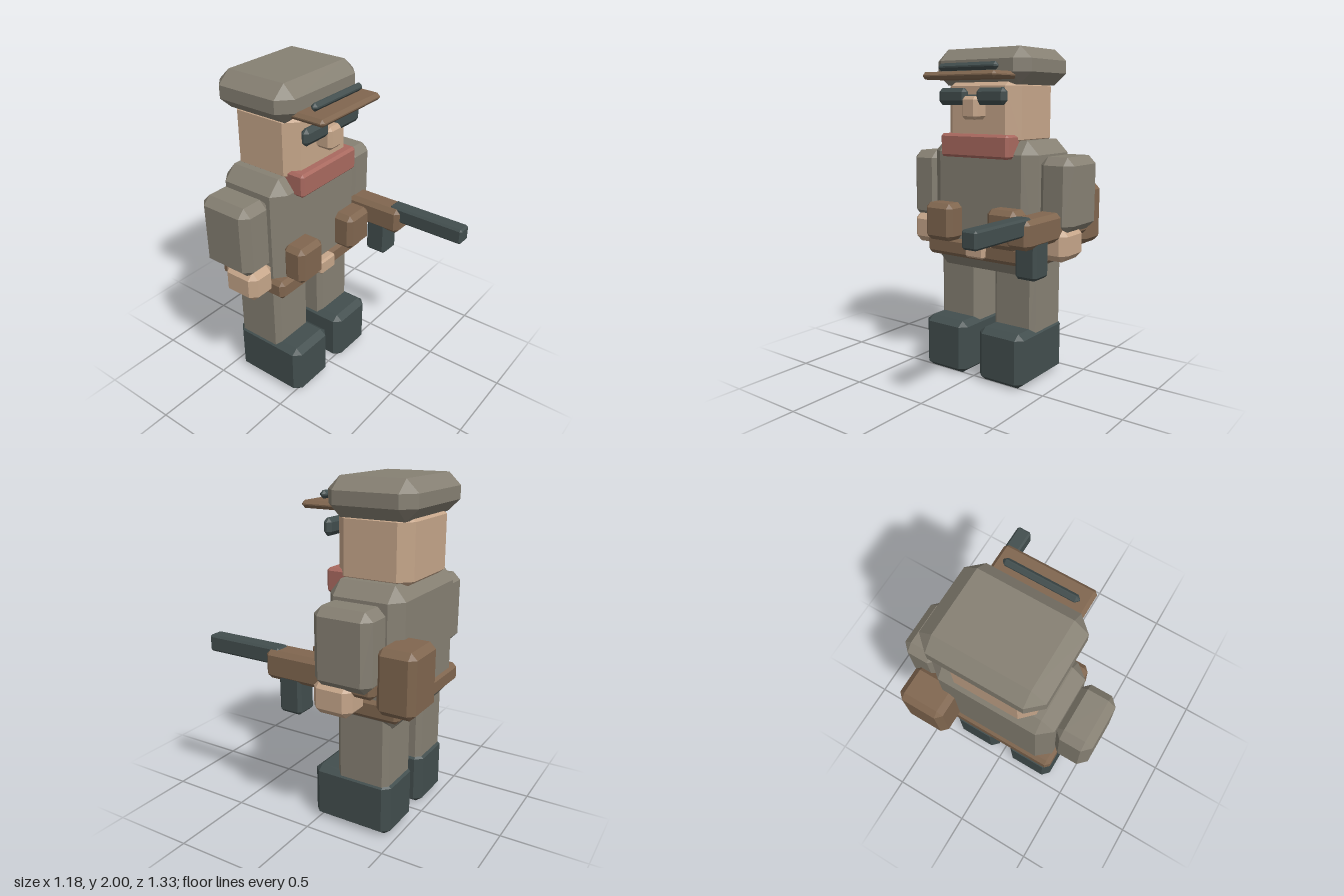
import * as THREE from 'three';
import { ConvexGeometry } from 'three/addons/geometries/ConvexGeometry.js';

const paint = (name, color) => {
  const m = new THREE.MeshStandardMaterial({ color });
  m.name = name;
  return m;
};

// Box between two limits per axis, with every edge and corner cut by [cx, cy, cz]
function chamferBox(x, y, z, cut) {
  const half = [x, y, z].map(([a, b]) => (b - a) / 2);
  const points = [];
  for (const sx of [-1, 1]) for (const sy of [-1, 1]) for (const sz of [-1, 1]) {
    const s = [sx, sy, sz];
    for (let face = 0; face < 3; face++) {
      points.push(new THREE.Vector3(...s.map((v, i) => v * (half[i] - (i === face ? 0 : cut[i])))));
    }
  }
  return new ConvexGeometry(points);
}

export function createModel() {
  const model = new THREE.Group();
  model.name = 'soldier';
  const cloth = paint('drab cloth', 0x868073);
  const leather = paint('brown leather', 0x80664f);
  const skin = paint('skin', 0xc6a68a);
  const dark = paint('dark rubber', 0x424e4e);
  const red = paint('scarf red', 0xa9695f);

  const block = (name, mat, x, y, z, c) => {
    const cut = Array.isArray(c) ? c : [c, c, c];
    const mesh = new THREE.Mesh(chamferBox(x, y, z, cut), mat);
    mesh.position.set((x[0] + x[1]) / 2, (y[0] + y[1]) / 2, (z[0] + z[1]) / 2);
    mesh.name = name;
    model.add(mesh);
  };
  // Same block on both sides; x is given for the left (+x)
  const pair = (name, mat, x, ...rest) => {
    block('left' + name, mat, x, ...rest);
    block('right' + name, mat, [-x[1], -x[0]], ...rest);
  };

  // Legs and boots
  pair('Boot', dark, [0.047, 0.368], [0, 0.337], [-0.46, 0.042], [0.042, 0.033, 0.042]);
  pair('Leg', cloth, [0.06, 0.357], [0.28, 0.76], [-0.445, -0.115], 0.03);

  // Body, belt and pouches
  block('torso', cloth, [-0.38, 0.38], [0.66, 1.465], [-0.51, -0.05], [0.08, 0.08, 0.065]);
  block('belt', leather, [-0.4, 0.4], [0.73, 0.85], [-0.527, -0.03], 0.025);
  block('buckle', skin, [-0.07, 0.067], [0.75, 0.845], [-0.06, 0.003], 0.012);
  pair('Pouch', leather, [0.13, 0.337], [0.843, 1.075], [-0.08, 0.07], 0.03);
  block('backPouch', leather, [0.225, 0.51], [0.82, 1.187], [-0.668, -0.44], 0.035);

  // Arms and hands
  pair('Sleeve', cloth, [0.37, 0.59], [0.94, 1.378], [-0.455, -0.105], 0.047);
  pair('Hand', skin, [0.385, 0.573], [0.777, 0.97], [-0.33, -0.09], 0.04);

  // Head and face
  block('head', skin, [-0.263, 0.263], [1.42, 1.83], [-0.5, -0.04], [0.07, 0.05, 0.07]);
  block('scarf', red, [-0.247, 0.247], [1.36, 1.5], [-0.15, 0.013], [0.015, 0.015, 0.015]);
  block('nose', skin, [-0.057, 0.055], [1.585, 1.72], [-0.06, 0.057], 0.02);
  pair('Lens', dark, [0.035, 0.243], [1.67, 1.768], [-0.01, 0.042], [0.024, 0.024, 0.02]);
  block('glassesBridge', dark, [-0.1, 0.1], [1.69, 1.73], [-0.05, 0.01], 0.008);

  // Cap with brim and band
  block('cap', cloth, [-0.34, 0.34], [1.785, 2], [-0.547, -0.015], [0.08, 0.07, 0.073]);
  block('brim', leather, [-0.263, 0.263], [1.815, 1.858], [-0.12, 0.165], 0.018);
  block('capBand', dark, [-0.213, 0.213], [1.865, 1.91], [0.037, 0.08], 0.018);

  // Rifle in the left hand
  block('rifleStock', leather, [0.385, 0.535], [0.9, 1.067], [-0.45, 0.24], 0.027);
  block('rifleBarrel', dark, [0.415, 0.51], [0.977, 1.077], [0.16, 0.663], 0.012);
  block('rifleMagazine', dark, [0.39, 0.53], [0.717, 0.94], [0.007, 0.152], 0.018);

  return model;
}
